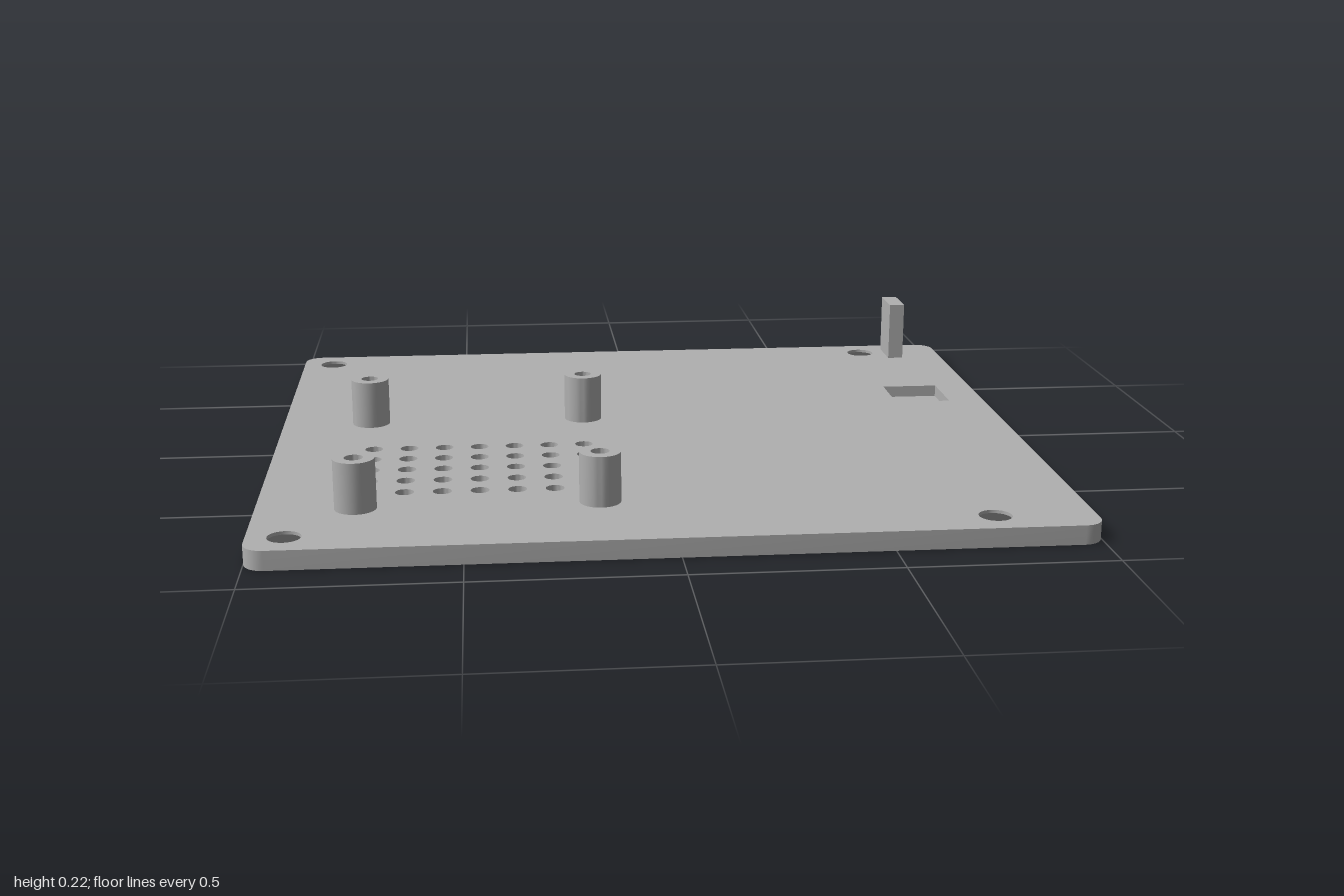
import * as THREE from 'three';
import { mergeGeometries, toCreasedNormals } from 'three/addons/utils/BufferGeometryUtils.js';

const TOP = 0.048; // plate thickness

// Outlines are counter-clockwise lists of Vector2 (x, -z)
const circle = (x, z, r, n = 32) => Array.from({ length: n }, (_, i) => {
  const a = (i / n) * Math.PI * 2;
  return new THREE.Vector2(x + r * Math.cos(a), -z + r * Math.sin(a));
});
const rect = (x0, x1, z0, z1) => [[x0, z1], [x1, z1], [x1, z0], [x0, z0]]
  .map(([x, z]) => new THREE.Vector2(x, -z));

function roundedRect(w, d, r, n = 8) {
  const pts = [];
  [[1, 1], [-1, 1], [-1, -1], [1, -1]].forEach(([sx, sy], k) => {
    for (let i = 0; i <= n; i++) {
      const a = (k + i / n) * Math.PI / 2;
      pts.push(new THREE.Vector2(sx * (w - r) + r * Math.cos(a), sy * (d - r) + r * Math.sin(a)));
    }
  });
  return pts;
}

// Wall between two outlines; inward makes it face the inside of a hole
function wall(lower, y0, upper, y1, inward = false) {
  const pos = [];
  const put = (p, y) => pos.push(p.x, y, -p.y);
  lower.forEach((_, i) => {
    const j = (i + 1) % lower.length;
    const [s, e] = inward ? [j, i] : [i, j];
    put(lower[s], y0); put(lower[e], y0); put(upper[e], y1);
    put(lower[s], y0); put(upper[e], y1); put(upper[s], y1);
  });
  const g = new THREE.BufferGeometry();
  g.setAttribute('position', new THREE.Float32BufferAttribute(pos, 3));
  return toCreasedNormals(g, Math.PI / 4);
}

// Flat face with holes, facing up or down
function cap(outline, holes, y, down = false) {
  const side = (pts) => pts.map((p) => new THREE.Vector2(p.x, down ? -p.y : p.y));
  const shape = new THREE.Shape(side(outline));
  shape.holes = holes.map((h) => new THREE.Path(side(h)));
  const g = new THREE.ShapeGeometry(shape).toNonIndexed();
  g.deleteAttribute('uv');
  return g.rotateX(down ? Math.PI / 2 : -Math.PI / 2).translate(0, y, 0);
}

export function createModel() {
  const model = new THREE.Group();
  const grey = new THREE.MeshStandardMaterial({ color: 0xb0b0b0 });
  grey.name = 'plasticGrey';
  const add = (name, parts) => {
    const mesh = new THREE.Mesh(mergeGeometries(parts), grey);
    mesh.name = name;
    model.add(mesh);
  };

  // Base plate with countersunk screw holes, vent grid and a blind pocket
  const outline = roundedRect(1, 0.89, 0.05);
  const pocket = rect(0.743, 0.9, -0.38, -0.21);
  const pocketFloor = 0.016;
  const topHoles = [pocket], bottomHoles = [];
  const plate = [
    wall(outline, 0, outline, TOP),
    wall(pocket, pocketFloor, pocket, TOP, true),
    cap(pocket, [], pocketFloor),
  ];
  for (const x of [-0.91, 0.757]) for (const z of [-0.8, 0.8]) {
    const narrow = circle(x, z, 0.04), wide = circle(x, z, 0.08);
    plate.push(wall(wide, 0, narrow, 0.04, true), wall(narrow, 0.04, narrow, TOP, true));
    topHoles.push(narrow);
    bottomHoles.push(wide);
  }
  for (let i = 0; i < 7; i++) for (let j = 0; j < 5; j++) {
    const vent = circle(-0.739 + i * 0.0928, 0.126 + j * 0.0928, 0.0235, 24);
    plate.push(wall(vent, 0, vent, TOP, true));
    topHoles.push(vent);
    bottomHoles.push(vent);
  }
  plate.push(cap(outline, topHoles, TOP), cap(outline, bottomHoles, 0, true));
  add('basePlate', plate);

  // Hollow mounting posts
  for (const x of [-0.759, -0.17]) for (const z of [-0.129, 0.608]) {
    const outer = circle(x, z, 0.051), bore = circle(x, z, 0.023);
    add('mountingPost', [
      wall(outer, TOP, outer, 0.175),
      wall(bore, TOP, bore, 0.175, true),
      cap(outer, [bore], 0.175),
      cap(bore, [], TOP + 0.001),
    ]);
  }

  // Upright tab at the rear corner
  const tab = rect(0.833, 0.878, -0.843, -0.725);
  add('uprightTab', [wall(tab, TOP, tab, 0.219), cap(tab, [], 0.219)]);

  return model;
}
